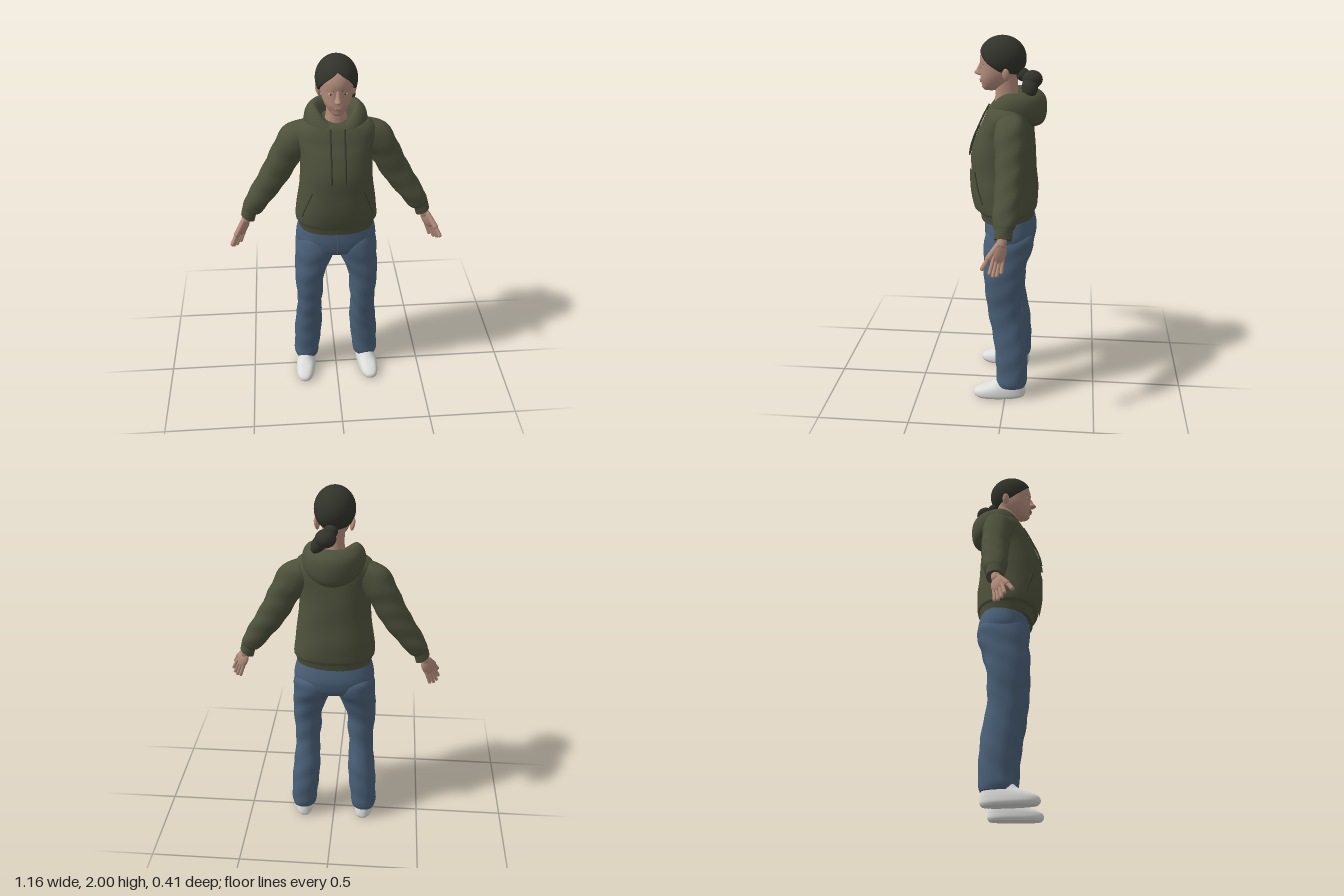
import * as THREE from 'three';

const V = (x, y, z) => new THREE.Vector3(x, y, z);
const mat = (name, color) => {
  const m = new THREE.MeshStandardMaterial({ color });
  m.name = name;
  return m;
};

// Surface from fn(u, v): u runs right, v runs up when seen from outside
function grid(fn, nu, nv, closed = true) {
  const pos = [], idx = [], w = closed ? nu : nu + 1;
  for (let j = 0; j <= nv; j++)
    for (let i = 0; i < w; i++) pos.push(...fn(i / nu, j));
  for (let j = 0; j < nv; j++)
    for (let i = 0; i < nu; i++) {
      const a = j * w + i, b = j * w + (i + 1) % w, c = a + w, d = b + w;
      idx.push(a, b, d, a, d, c);
    }
  const g = new THREE.BufferGeometry();
  g.setAttribute('position', new THREE.Float32BufferAttribute(pos, 3));
  g.setIndex(idx);
  g.computeVertexNormals();
  return g;
}

// Smoothly resample rows of numbers
function dense(rows, steps) {
  const out = [], n = rows.length - 1;
  for (let k = 0; k <= n * steps; k++) {
    const i = Math.min(Math.floor(k / steps), n - 1), t = k / steps - i;
    const r = o => rows[Math.max(0, Math.min(n, i + o))];
    out.push(rows[0].map((_, c) => {
      const p0 = r(-1)[c], p1 = r(0)[c], p2 = r(1)[c], p3 = r(2)[c];
      return p1 + 0.5 * t * (p2 - p0 + t * (2 * p0 - 5 * p1 + 4 * p2 - p3 + t * (3 * (p1 - p2) + p3 - p0)));
    }));
  }
  return out;
}

// Closed loft, bottom to top; section = [y, centreX, halfWidth, zFront, zBack, tilt]
function loft(secs, { n = 40, steps = 5, p = 2.2, fold = 0, freq = 40 } = {}) {
  const d = dense(secs, steps), last = d.length - 1;
  const pw = s => Math.sign(s) * Math.abs(s) ** (2 / p);
  return grid((u, j) => {
    const [y, cx, hw, zf, zb, tilt = 0] = d[Math.max(0, Math.min(last, j - 2))];
    const k = j === 0 || j === last + 4 ? 0 : 1, a = u * Math.PI * 2;
    const f = k * (1 + fold * Math.sin(freq * y + 2 * Math.sin(a) + 3 * Math.cos(a)));
    const x = hw * pw(Math.sin(a)) * f;
    return [cx + x * Math.cos(tilt), y + x * Math.sin(tilt), (zf + zb) / 2 + (zf - zb) / 2 * pw(Math.cos(a)) * f];
  }, n, last + 4);
}

function mirrored(geo) {
  const g = geo.clone().scale(-1, 1, 1), ix = g.index.array;
  for (let i = 0; i < ix.length; i += 3) [ix[i], ix[i + 1]] = [ix[i + 1], ix[i]];
  g.computeVertexNormals();
  return g;
}

const ball = (c, rx, ry, rz) => new THREE.SphereGeometry(1, 24, 16).scale(rx, ry, rz).translate(...c);
const tube = (pts, r) => new THREE.TubeGeometry(new THREE.CatmullRomCurve3(pts), 24, r, 6);

function capsule(a, b, r) {
  const d = b.clone().sub(a), g = new THREE.CapsuleGeometry(r, d.length(), 5, 12);
  g.applyQuaternion(new THREE.Quaternion().setFromUnitVectors(V(0, 1, 0), d.normalize()));
  return g.translate(...a.clone().add(b).multiplyScalar(0.5));
}

export function createModel() {
  const root = new THREE.Group();
  root.name = 'standingFigure';
  const hoodie = mat('olive cloth', 0x4d513b), trim = mat('dark olive trim', 0x3a3d2d);
  const denim = mat('blue denim', 0x4a6078), skin = mat('skin', 0xb48d7d), hair = mat('dark hair', 0x32332b);
  const shoeMat = mat('white shoe', 0xdcdcda), lip = mat('lip', 0xa37468), white = mat('eye white', 0xc4b8b0);
  const add = (name, geo, m) => {
    const mesh = new THREE.Mesh(geo, m);
    mesh.name = name;
    root.add(mesh);
  };
  const pair = (name, geo, m) => {
    add(name + 'Left', geo, m);
    add(name + 'Right', mirrored(geo), m);
  };

  // Hoodie body with a gathered hem
  const torso = [
    [1.04, 0, 0.202, 0.145, -0.14], [1.085, 0, 0.21, 0.155, -0.148], [1.105, 0, 0.22, 0.175, -0.158],
    [1.2, 0, 0.208, 0.195, -0.16], [1.3, 0, 0.195, 0.197, -0.152], [1.4, 0, 0.187, 0.195, -0.145],
    [1.5, 0, 0.188, 0.165, -0.138], [1.56, 0, 0.2, 0.135, -0.132], [1.61, 0, 0.2, 0.113, -0.122],
    [1.645, 0, 0.165, 0.092, -0.1], [1.665, 0, 0.1, 0.06, -0.08]];
  add('hoodieBody', loft(torso, { n: 56, p: 2.3, fold: 0.006, freq: 30 }), hoodie);
  const rows = dense(torso, 5);
  const chestZ = (x, y) => {
    const i = Math.max(1, rows.findIndex(r => r[0] >= y)), a = rows[i - 1], b = rows[i];
    const t = (y - a[0]) / (b[0] - a[0]), [, , hw, zf, zb] = a.map((q, c) => q + (b[c] - q) * t);
    return (zf + zb) / 2 + (zf - zb) / 2 * (1 - Math.min(1, Math.abs(x / hw)) ** 2.3) ** (1 / 2.3);
  };

  // Front pouch pocket, its slanted openings and the two cords
  const pocketHalf = y => y < 1.16 ? 0.185 : 0.185 - (y - 1.16) * 0.34;
  add('frontPocket', grid((u, j) => {
    const y = 1.105 + j * 0.0175, x = (u * 2 - 1) * pocketHalf(y);
    return [x, y, chestZ(x, y) + 0.007];
  }, 30, 12, false), hoodie);
  const onChest = (x, y, o) => V(x, y, chestZ(x, y) + o);
  pair('pocketEdge', tube([1.15, 1.19, 1.23, 1.27, 1.315].map(y => onChest(pocketHalf(y), y, 0.005)), 0.004), trim);
  pair('drawCord', tube([1.64, 1.6, 1.54, 1.48, 1.42, 1.38].map(y => onChest(0.036, y, 0.008)), 0.005), trim);

  // Hood resting round the neck; each row = [radius, y] at front, side and back
  const hoodRows = dense([
    [0.1, 1.56, 0.12, 1.57, 0.09, 1.53], [0.13, 1.575, 0.152, 1.6, 0.155, 1.555],
    [0.14, 1.6, 0.162, 1.65, 0.176, 1.62], [0.125, 1.63, 0.148, 1.7, 0.165, 1.695],
    [0.105, 1.645, 0.112, 1.727, 0.11, 1.732], [0.085, 1.635, 0.078, 1.69, 0.075, 1.69],
    [0.07, 1.6, 0.06, 1.62, 0.06, 1.64]], 5);
  add('hood', grid((u, j) => {
    const a = u * Math.PI * 2, c = Math.cos(a), s = Math.sin(a), h = hoodRows[j], k = c > 0 ? 0 : 4;
    const r = h[k] * c * c + h[2] * s * s, y = h[k + 1] * c * c + h[3] * s * s;
    return [r * s, y, r * c - 0.025];
  }, 48, hoodRows.length - 1), hoodie);

  // Sleeves: cuff, gathered forearm, upper arm, shoulder
  pair('sleeve', loft([
    [1.078, 0.478, 0.041, 0.026, -0.06, 0.56], [1.12, 0.464, 0.043, 0.027, -0.065, 0.56],
    [1.14, 0.448, 0.054, 0.036, -0.078, 0.56], [1.193, 0.414, 0.061, 0.04, -0.088, 0.56],
    [1.33, 0.322, 0.074, 0.038, -0.106, 0.56], [1.488, 0.238, 0.082, 0.05, -0.11, 0.6],
    [1.535, 0.202, 0.086, 0.055, -0.11, 0.85], [1.562, 0.15, 0.078, 0.055, -0.1, 1.2]],
  { steps: 7, fold: 0.03, freq: 62 }), hoodie);

  // Hands: palm, four fingers and a thumb
  const wrist = V(0.482, 1.08, -0.012), dir = V(0.4, -0.9, 0.15).normalize();
  const nrm = V(0.65, 0.2, 0.73).cross(dir).normalize(), side = dir.clone().cross(nrm);
  const at = (d, s, n = 0) => wrist.clone().addScaledVector(dir, d).addScaledVector(side, s).addScaledVector(nrm, n);
  pair('wrist', capsule(V(0.465, 1.12, -0.018), at(0.02, 0), 0.025), skin);
  pair('palm', new THREE.SphereGeometry(1, 20, 14).scale(0.041, 0.058, 0.019)
    .applyMatrix4(new THREE.Matrix4().makeBasis(side, dir, nrm).setPosition(at(0.06, 0))), skin);
  [0.062, 0.08, 0.085, 0.075].forEach((len, i) => {
    const s = -0.028 + i * 0.019;
    pair('finger' + (i + 1), capsule(at(0.085, s), at(0.095 + len, s * 1.25), 0.0095), skin);
  });
  pair('thumbBase', capsule(at(0.03, 0.02), V(0.543, 1.005, 0.05), 0.015), skin);
  pair('thumbTip', capsule(V(0.543, 1.005, 0.05), V(0.566, 0.962, 0.076), 0.011), skin);

  // Jeans: hips and two legs
  add('jeansHips', loft([
    [0.85, 0, 0.07, 0.06, -0.08], [0.89, 0, 0.19, 0.112, -0.135], [0.95, 0, 0.218, 0.125, -0.153],
    [1.0, 0, 0.215, 0.125, -0.152], [1.07, 0, 0.195, 0.12, -0.135]], { p: 2.3 }), denim);
  pair('jeansLeg', loft([
    [0.072, 0.178, 0.068, 0.042, -0.113], [0.1, 0.178, 0.073, 0.05, -0.12], [0.15, 0.174, 0.074, 0.052, -0.123],
    [0.28, 0.165, 0.079, 0.06, -0.12], [0.4, 0.157, 0.074, 0.076, -0.108], [0.5, 0.155, 0.068, 0.095, -0.088],
    [0.58, 0.151, 0.074, 0.106, -0.086], [0.7, 0.152, 0.081, 0.118, -0.09], [0.81, 0.13, 0.099, 0.122, -0.115],
    [0.88, 0.115, 0.111, 0.123, -0.138], [0.95, 0.11, 0.106, 0.118, -0.147], [1, 0.1, 0.09, 0.09, -0.1]],
  { steps: 6, fold: 0.02, freq: 48 }), denim);
  add('jeansFly', tube([V(0, 1.05, 0.124), V(0.002, 0.97, 0.127), V(0, 0.9, 0.119)], 0.003), denim);

  // Shoes, toes turned slightly out
  pair('shoe', loft([
    [0, 0, 0.05, 0.168, -0.105], [0.015, 0, 0.057, 0.18, -0.114], [0.038, 0, 0.056, 0.175, -0.113],
    [0.058, 0, 0.052, 0.14, -0.11], [0.078, 0, 0.046, 0.085, -0.105], [0.105, 0, 0.038, 0.05, -0.095]],
  { p: 2.5 }).rotateY(0.1).translate(0.183, 0, 0), shoeMat);

  // Neck and head
  add('neck', loft([[1.58, 0, 0.07, 0.07, -0.075], [1.66, 0, 0.056, 0.07, -0.055],
    [1.72, 0, 0.05, 0.068, -0.048], [1.82, 0, 0.055, 0.07, -0.05]]), skin);
  add('head', loft([
    [1.722, 0, 0.02, 0.122, 0.06], [1.735, 0, 0.036, 0.136, 0.03], [1.755, 0, 0.053, 0.139, 0],
    [1.78, 0, 0.067, 0.145, -0.03], [1.81, 0, 0.077, 0.144, -0.045], [1.85, 0, 0.083, 0.144, -0.062],
    [1.89, 0, 0.085, 0.146, -0.068], [1.93, 0, 0.078, 0.134, -0.06], [1.96, 0, 0.055, 0.11, -0.03],
    [1.975, 0, 0.02, 0.07, 0]], { p: 2.1 }), skin);

  // Face
  add('nose', loft([[1.797, 0, 0.01, 0.152, 0.12], [1.803, 0, 0.018, 0.168, 0.12], [1.812, 0, 0.017, 0.176, 0.12],
    [1.83, 0, 0.011, 0.163, 0.12], [1.862, 0, 0.01, 0.147, 0.12]], { n: 20 }), skin);
  add('upperLip', ball([0, 1.774, 0.141], 0.022, 0.005, 0.01), lip);
  add('lowerLip', ball([0, 1.766, 0.138], 0.019, 0.006, 0.011), lip);
  pair('eye', ball([0.034, 1.842, 0.126], 0.014, 0.006, 0.01), white);
  pair('iris', ball([0.034, 1.842, 0.1335], 0.005, 0.005, 0.004), hair);
  pair('eyebrow', tube([V(0.018, 1.861, 0.141), V(0.036, 1.866, 0.133), V(0.053, 1.86, 0.12)], 0.003), hair);
  pair('ear', ball([0, 0, 0], 0.011, 0.033, 0.02).rotateZ(-0.2).rotateY(-0.3).translate(0.09, 1.815, 0.005), skin);

  // Hair cap parted in the middle: hairline height by angle from the front
  const hairline = [[0, 1.95], [0.5, 1.912], [1, 1.865], [1.5, 1.828], [2.2, 1.815], [3.15, 1.8]];
  add('hairCap', grid((u, j) => {
    const a = u * Math.PI * 2, m = Math.min(a, Math.PI * 2 - a);
    const i = hairline.findIndex(h => h[0] > m), [a0, y0] = hairline[i - 1], [a1, y1] = hairline[i];
    const end = Math.acos((y0 + (y1 - y0) * (m - a0) / (a1 - a0) - 1.885) / 0.115);
    const th = end * (1 - Math.max(0, j - 1) / 20), k = Math.sin(th) * (j === 0 ? 0.85 : 1);
    return [0.105 * k * Math.sin(a), 1.885 + 0.115 * Math.cos(th), 0.03 + 0.123 * k * Math.cos(a)];
  }, 64, 21), hair);

  // Low ponytail swept over the left shoulder
  add('hairTie', ball([0.012, 1.805, -0.075], 0.036, 0.034, 0.035), hair);
  add('ponytailBun', ball([0.034, 1.785, -0.125], 0.053, 0.046, 0.053), hair);
  add('ponytailEnd', ball([0, 0, 0], 0.036, 0.055, 0.042).rotateZ(0.5).translate(0.068, 1.752, -0.115), hair);
  return root;
}
